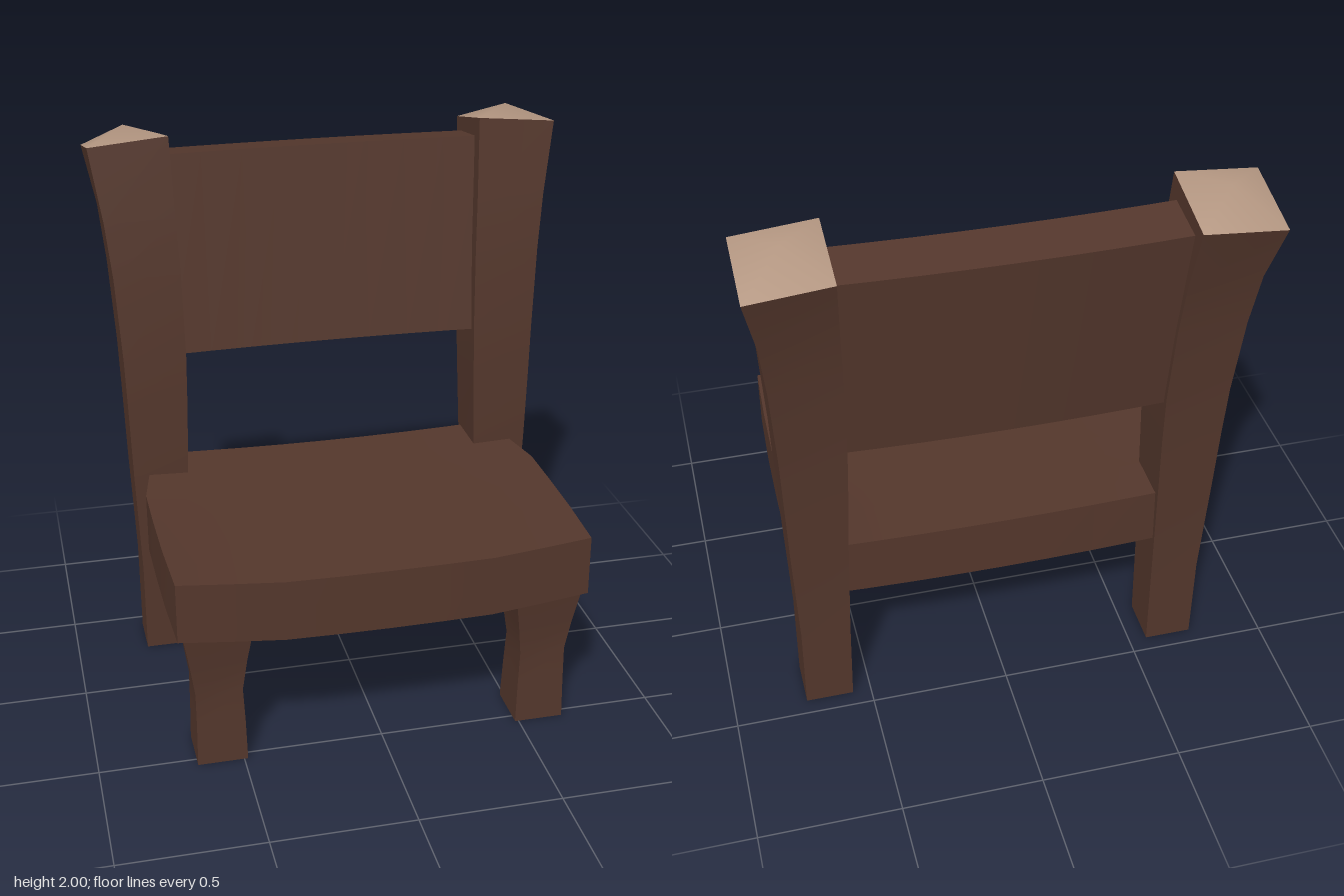
import * as THREE from 'three';
import { toCreasedNormals } from 'three/addons/utils/BufferGeometryUtils.js';

const wood = new THREE.MeshStandardMaterial({ color: 0x54372c });
const endGrain = new THREE.MeshStandardMaterial({ color: 0xb39681 });

// Moves every vertex of a geometry by a rule, then smooths all but sharp edges
function reshape(geometry, rule) {
  const p = geometry.attributes.position;
  const v = new THREE.Vector3();
  for (let i = 0; i < p.count; i++) {
    v.fromBufferAttribute(p, i);
    rule(v);
    p.setXYZ(i, v.x, v.y, v.z);
  }
  return toCreasedNormals(geometry, Math.PI / 4);
}

function addMesh(parent, name, geometry, material = wood) {
  const mesh = new THREE.Mesh(geometry, material);
  mesh.name = name;
  parent.add(mesh);
}

// Square timber through sections [y, inner x, outer x, front z, back z]
function timber(sections, side, lift = () => 0) {
  const n = sections.length - 1;
  return reshape(new THREE.BoxGeometry(1, 1, 1, 1, n, 1), (v) => {
    const i = Math.round((v.y + 0.5) * n);
    const [y, inner, outer, front, back] = sections[i];
    const x = v.x * side > 0 ? outer : inner;
    const z = v.z > 0 ? front : back;
    v.set(x * side, y + (i === n ? lift(x, z) : 0), z);
  });
}

const POST = [
  [0, 0.567, 0.738, -0.27, -0.442],
  [0.35, 0.562, 0.738, -0.267, -0.448],
  [0.74, 0.553, 0.753, -0.26, -0.465],
  [1.0, 0.545, 0.76, -0.26, -0.48],
  [1.2, 0.541, 0.766, -0.265, -0.495],
  [1.5, 0.545, 0.783, -0.285, -0.53],
  [1.7, 0.552, 0.803, -0.305, -0.563],
  [1.943, 0.561, 0.843, -0.34, -0.62],
];
const LEG = [
  [0, 0.487, 0.662, 0.535, 0.357],
  [0.15, 0.491, 0.66, 0.532, 0.366],
  [0.28, 0.497, 0.66, 0.528, 0.372],
  [0.4, 0.482, 0.677, 0.543, 0.355],
  [0.55, 0.458, 0.702, 0.567, 0.33],
];

// The post tops slope down to the back and the outside
const slope = (x, z) => (z + 0.48) * 0.215 - (x - 0.702) * 0.09;

// Seat depth stations [z, half width], from back to front
const SEAT = [[-0.44, 0.66], [-0.27, 0.695], [-0.09, 0.73], [0.12, 0.73], [0.33, 0.727], [0.575, 0.717]];

export function createModel() {
  const chair = new THREE.Group();
  chair.name = 'chair';

  // Dished seat with a bowed front edge
  addMesh(chair, 'seat', reshape(new THREE.BoxGeometry(2, 1, 1, 8, 1, 5), (v) => {
    const u = v.x;
    const i = Math.round((v.z + 0.5) * 5);
    const [z, half] = SEAT[i];
    const bow = i === 5 ? 0.04 * Math.min(1, (1 - Math.abs(u)) * 2) : 0;
    const y = v.y > 0 ? 0.725 + 0.015 * u * u : 0.505 + 0.018 * u * u;
    v.set(u * half, y, z + bow);
  }));

  // Leaning back panel, bowed slightly to the back
  addMesh(chair, 'backPanel', reshape(new THREE.BoxGeometry(2, 1, 1, 8, 1, 1), (v) => {
    const top = v.y > 0, front = v.z > 0;
    const y = (top ? 1.91 : 1.195) - (front ? 0 : 0.024);
    const z = (top ? -0.4 : -0.31) - (front ? 0 : 0.175);
    v.set(v.x * 0.59, y, z + 0.016 * v.x * v.x);
  }));

  for (const side of [1, -1]) {
    const label = side > 0 ? 'left' : 'right';
    addMesh(chair, label + 'BackPost', timber(POST, side, slope));
    addMesh(chair, label + 'FrontLeg', timber(LEG, side));

    // Low pyramid of pale end grain on the post
    const cap = new THREE.ConeGeometry(0.141 * Math.SQRT2, 0.057, 4, 1, true).rotateY(Math.PI / 4);
    addMesh(chair, label + 'PostCap', reshape(cap, (v) => {
      const x = v.x * side + 0.702, z = v.z - 0.48;
      v.set(x * side, 1.943 + v.y + 0.0285 + slope(x, z), z);
    }), endGrain);
  }
  return chair;
}
